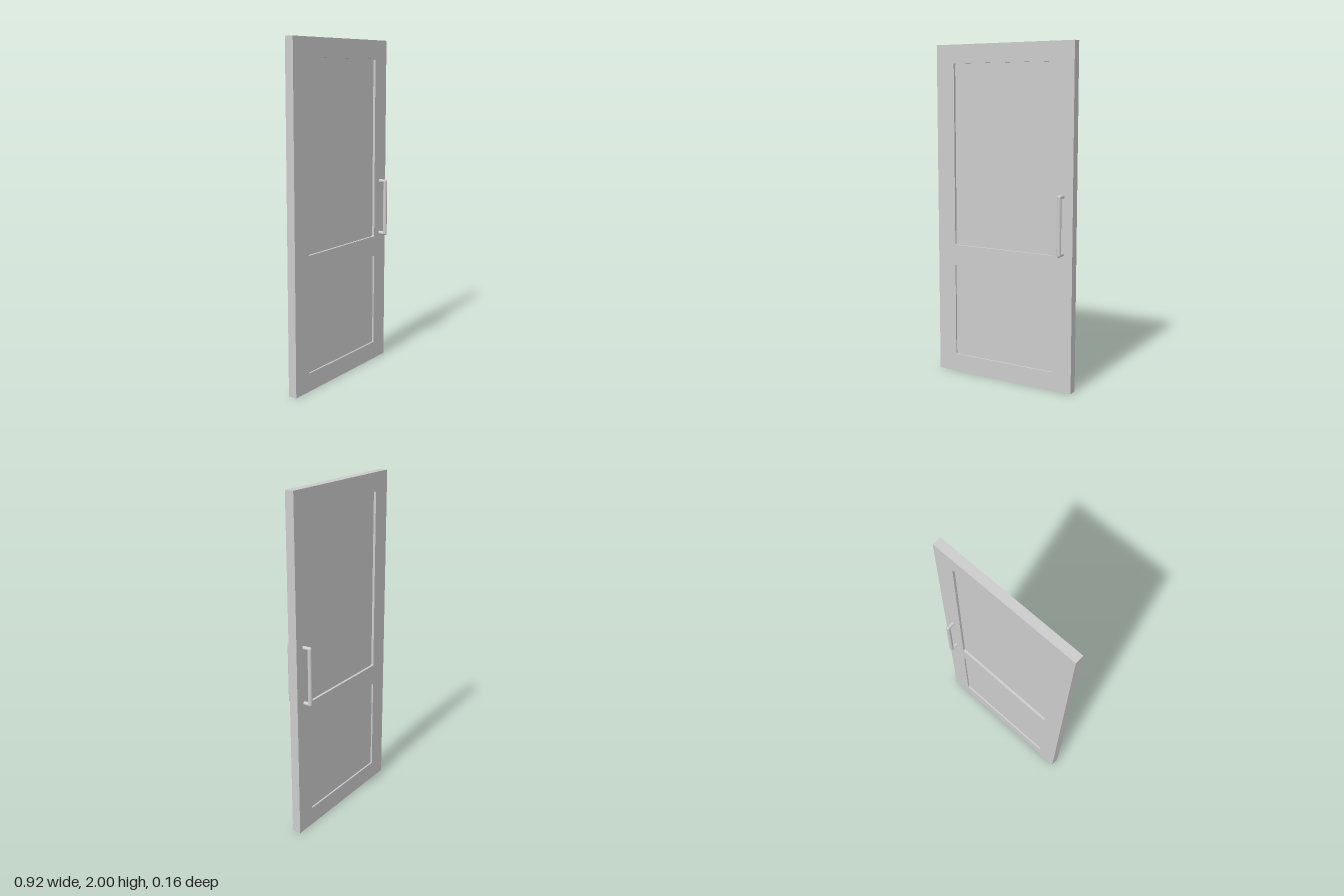
import * as THREE from 'three';

const W = 0.915, H = 2, T = 0.053;
const material = new THREE.MeshStandardMaterial({ color: 0xcccccc });

function part(name, geometry, parent) {
  const mesh = new THREE.Mesh(geometry, material);
  mesh.name = name;
  parent.add(mesh);
  return mesh;
}

// Rectangle with small rounded corners
function roundedRect(target, x0, y0, x1, y1, r) {
  target.moveTo(x0 + r, y0);
  target.lineTo(x1 - r, y0);
  target.absarc(x1 - r, y0 + r, r, -Math.PI / 2, 0, false);
  target.lineTo(x1, y1 - r);
  target.absarc(x1 - r, y1 - r, r, 0, Math.PI / 2, false);
  target.lineTo(x0 + r, y1);
  target.absarc(x0 + r, y1 - r, r, Math.PI / 2, Math.PI, false);
  target.lineTo(x0, y0 + r);
  target.absarc(x0 + r, y0 + r, r, Math.PI, Math.PI * 1.5, false);
  return target;
}

// Pull handle: two standoffs, rounded corners and a vertical grip
function makeHandle(name) {
  const handle = new THREE.Group();
  handle.name = name;
  const r = 0.012, zStart = T / 2 - 0.003, zBar = 0.0677;
  const yLow = 0.814, yHigh = 1.143;
  const grip = part('handleGrip', new THREE.CylinderGeometry(r, r, yHigh - yLow, 24), handle);
  grip.position.set(0, (yLow + yHigh) / 2, zBar);
  for (const y of [yLow, yHigh]) {
    const standoff = part('handleStandoff',
      new THREE.CylinderGeometry(r * 0.94, r * 0.94, zBar - zStart, 24), handle);
    standoff.rotation.x = Math.PI / 2;
    standoff.position.set(0, y, (zStart + zBar) / 2);
    part('handleCorner', new THREE.SphereGeometry(r, 24, 16), handle).position.set(0, y, zBar);
  }
  return handle;
}

export function createModel() {
  const door = new THREE.Group();
  door.name = 'door';

  const panels = [
    { name: 'upperPanel', y0: 0.8, y1: 1.89, recess: 0.015 },
    { name: 'lowerPanel', y0: 0.109, y1: 0.676, recess: 0.01 },
  ];
  const px = 0.336;

  // Frame with two openings
  const outline = new THREE.Shape([
    new THREE.Vector2(-W / 2, 0), new THREE.Vector2(W / 2, 0),
    new THREE.Vector2(W / 2, H), new THREE.Vector2(-W / 2, H),
  ]);
  for (const p of panels) {
    outline.holes.push(roundedRect(new THREE.Path(), -px, p.y0, px, p.y1, 0.007));
  }
  const frame = new THREE.ExtrudeGeometry(outline, { depth: T, bevelEnabled: false, curveSegments: 5 });
  frame.translate(0, 0, -T / 2);
  part('doorFrame', frame, door);

  // Panels set back from both faces
  for (const p of panels) {
    const panel = part(p.name,
      new THREE.BoxGeometry(px * 2 + 0.01, p.y1 - p.y0 + 0.01, T - 2 * p.recess), door);
    panel.position.y = (p.y0 + p.y1) / 2;
  }

  // Matching handles on front and back
  for (const side of [1, -1]) {
    const handle = makeHandle(side > 0 ? 'frontHandle' : 'backHandle');
    handle.position.x = 0.394;
    handle.rotation.y = side > 0 ? 0 : Math.PI;
    door.add(handle);
  }
  return door;
}
